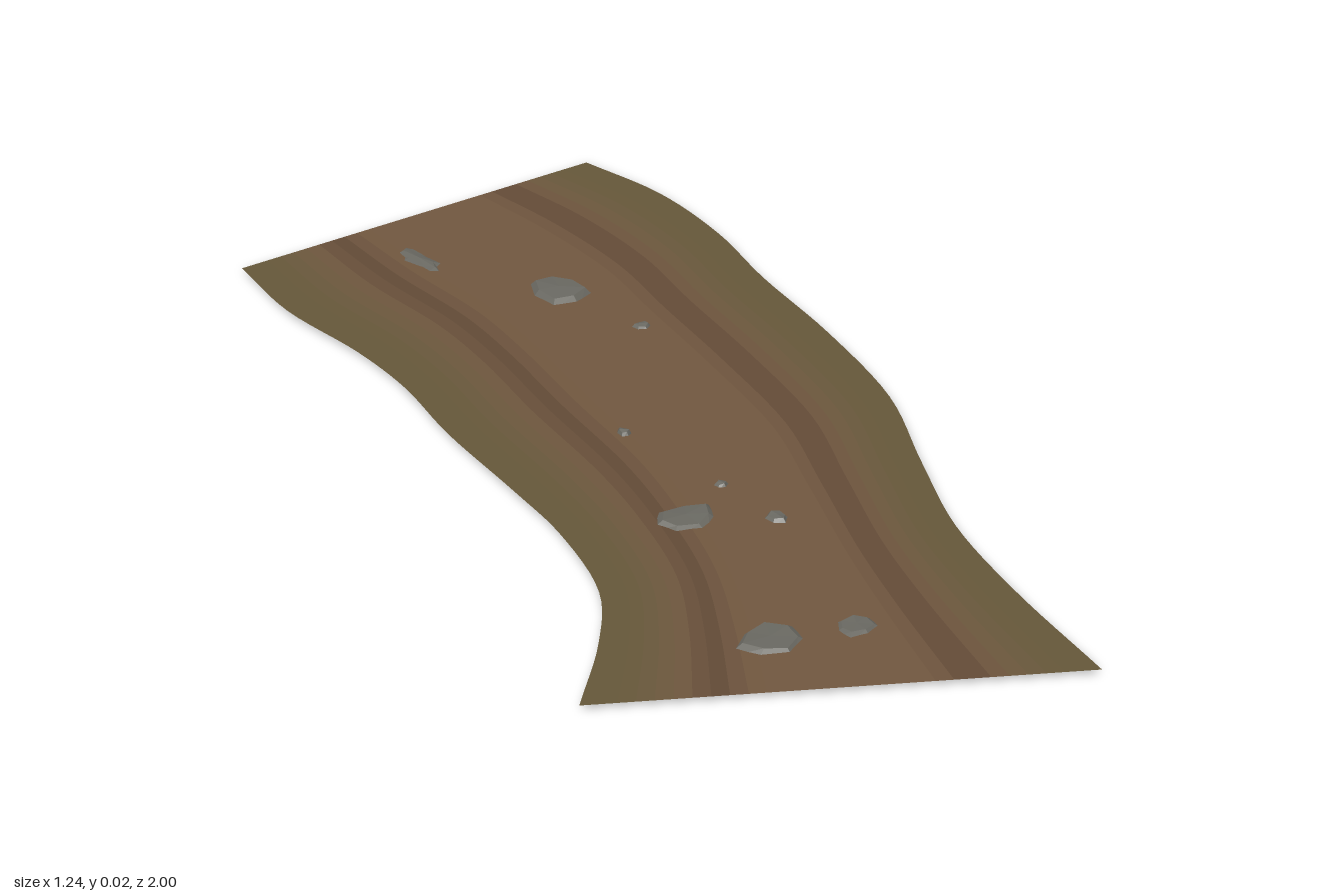
import * as THREE from 'three';

const ROAD_Y = 0.01;
const ROWS = 54;
const STRIPS = 28;

// Matching points along both road edges: [leftX, leftZ, rightX, rightZ]
const edges = [
  [-0.193, -1, 0.595, -1],
  [-0.225, -0.8, 0.617, -0.8],
  [-0.219, -0.58, 0.592, -0.59],
  [-0.232, -0.42, 0.535, -0.385],
  [-0.272, -0.235, 0.482, -0.14],
  [-0.304, 0, 0.403, 0.12],
  [-0.33, 0.16, 0.29, 0.33],
  [-0.394, 0.35, 0.188, 0.53],
  [-0.489, 0.474, 0.122, 0.74],
  [-0.62, 0.6, 0.063, 1],
];

// Verge, dirt and wheel-rut colour across the road, u from 0 to 1
function roadColor(u) {
  const verge = new THREE.Color(0x66583a);
  const dirt = new THREE.Color(0x725840);
  const rut = new THREE.Color(0x5c4533);
  const c = verge.lerp(dirt, THREE.MathUtils.smoothstep(Math.min(u, 1 - u), 0.07, 0.24));
  const r = Math.max(...[0.26, 0.75].map((p) => Math.exp(-(((u - p) / 0.045) ** 2))));
  return c.lerp(rut, r * 0.75);
}

// One lengthwise strip of the road between fractions u0 and u1 of its width
function roadStrip(left, right, u0, u1) {
  const pos = [], index = [];
  for (let i = 0; i <= ROWS; i++) {
    const a = left.getPoint(i / ROWS), b = right.getPoint(i / ROWS);
    for (const u of [u0, u1]) pos.push(...a.clone().lerp(b, u).toArray());
    if (i < ROWS) {
      const k = i * 2;
      index.push(k, k + 2, k + 1, k + 1, k + 2, k + 3);
    }
  }
  const geo = new THREE.BufferGeometry();
  geo.setAttribute('position', new THREE.Float32BufferAttribute(pos, 3));
  geo.setIndex(index);
  geo.computeVertexNormals();
  const mat = new THREE.MeshStandardMaterial({
    color: roadColor((u0 + u1) / 2), side: THREE.DoubleSide,
  });
  return new THREE.Mesh(geo, mat);
}

// Faceted flat stone: wide base ring under the road, smaller shifted ring on top
function stone({ x, z, rx, rz, h, top = 0.55, dx = 0, dz = 0, topX = top, sides = 7 }, seed) {
  const geo = new THREE.CylinderGeometry(1, 1, 1, sides, 1);
  const p = geo.attributes.position;
  for (let i = 0; i < p.count; i++) {
    const up = p.getY(i) > 0;
    const px = p.getX(i), pz = p.getZ(i);
    const a = Math.round((Math.atan2(pz, px) + 7) * 100) / 100;
    const rim = Math.hypot(px, pz) > 0.5;
    const n = rim ? 0.93 + 0.09 * Math.sin(a * 3 + seed * 2.1) : 0;
    p.setXYZ(i,
      px * rx * n * (up ? topX : 1) + (up ? dx : 0),
      up ? h - (rim ? 0.0015 * (1 + Math.sin(a * 2 + seed)) : 0) : 0,
      pz * rz * n * (up ? top : 1) + (up ? dz : 0));
  }
  geo.computeVertexNormals();
  const mesh = new THREE.Mesh(geo, new THREE.MeshStandardMaterial({ color: 0x6a6962, flatShading: true }));
  mesh.position.set(x, 0, z);
  return mesh;
}

const stones = [
  { x: 0.085, z: -0.82, rx: 0.075, rz: 0.088, h: 0.014, top: 0.62, topX: 0.18, dz: -0.015 },
  { x: 0.206, z: -0.565, rx: 0.062, rz: 0.076, h: 0.021, top: 0.7 },
  { x: -0.138, z: 0.243, rx: 0.07, rz: 0.064, h: 0.017, top: 0.55, topX: 0.68 },
  { x: -0.275, z: 0.625, rx: 0.078, rz: 0.06, h: 0.017, top: 0.72, topX: 0.6 },
  { x: -0.145, z: 0.675, rx: 0.052, rz: 0.046, h: 0.016, top: 0.55 },
  { x: -0.022, z: 0.333, rx: 0.03, rz: 0.033, h: 0.017, top: 0.5, sides: 6 },
  { x: -0.022, z: 0.19, rx: 0.022, rz: 0.018, h: 0.016, top: 0.45, sides: 6 },
  { x: -0.038, z: -0.053, rx: 0.016, rz: 0.022, h: 0.018, top: 0.5, sides: 6 },
  { x: 0.237, z: -0.36, rx: 0.027, rz: 0.023, h: 0.016, top: 0.5, sides: 6 },
];

export function createModel() {
  const model = new THREE.Group();
  model.name = 'dirtRoad';

  // Winding road surface, banded across its width
  const road = new THREE.Group();
  road.name = 'roadSurface';
  const curve = (k) => new THREE.CatmullRomCurve3(
    edges.map((e) => new THREE.Vector3(e[k], ROAD_Y, e[k + 1])));
  const left = curve(0), right = curve(2);
  for (let i = 0; i < STRIPS; i++) {
    const strip = roadStrip(left, right, i / STRIPS, (i + 1) / STRIPS);
    strip.name = `roadStrip${i + 1}`;
    road.add(strip);
  }
  model.add(road);

  // Embedded stones
  const rocks = new THREE.Group();
  rocks.name = 'stones';
  stones.forEach((s, i) => {
    const rock = stone(s, i + 1);
    rock.name = `stone${i + 1}`;
    rocks.add(rock);
  });
  model.add(rocks);
  return model;
}
